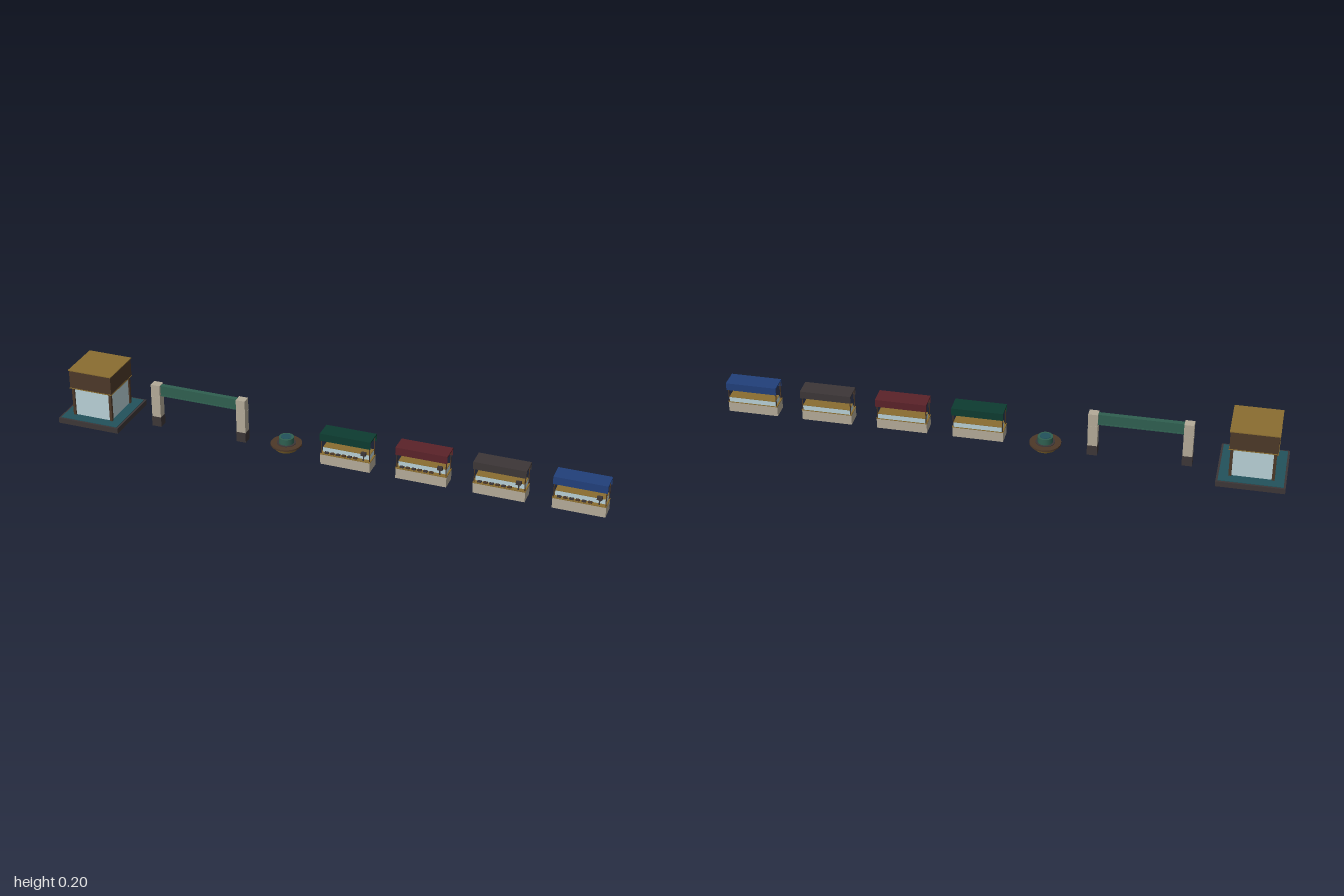
import * as THREE from 'three';

const mat = (name, color, double = false) => {
  const m = new THREE.MeshStandardMaterial({ color });
  m.name = name;
  if (double) m.side = THREE.DoubleSide;
  return m;
};

export function createModel() {
  const M = {
    stone: mat('pale stone', 0xb3aa98),
    charcoal: mat('charcoal', 0x3c3637),
    brown: mat('dark wood', 0x4c3828),
    gold: mat('bronze gold', 0x8a6d30),
    glass: mat('pale glass', 0xb8d0d6),
    teal: mat('teal paving', 0x22525c),
    jade: mat('jade', 0x2f5f50),
    green: mat('green cloth', 0x0d3b30),
    red: mat('red cloth', 0x5a2229),
    blue: mat('blue cloth', 0x213f7a),
  };
  const root = new THREE.Group();
  root.name = 'marketStreet';

  const group = (name, x, z = 0) => {
    const g = new THREE.Group();
    g.name = name;
    g.position.set(x, 0, z);
    root.add(g);
    return g;
  };
  // Box given by its width, depth, bottom and top
  const box = (parent, name, m, w, d, y0, y1, x = 0, z = 0) => {
    const mesh = new THREE.Mesh(new THREE.BoxGeometry(w, y1 - y0, d), m);
    mesh.name = name;
    mesh.position.set(x, (y0 + y1) / 2, z);
    parent.add(mesh);
    return mesh;
  };
  const disc = (parent, name, m, rTop, rBottom, y0, y1, sides = 24) => {
    const mesh = new THREE.Mesh(new THREE.CylinderGeometry(rTop, rBottom, y1 - y0, sides), m);
    mesh.name = name;
    mesh.position.y = (y0 + y1) / 2;
    parent.add(mesh);
  };

  // Pavilion: plinth, glazed room, corner posts and tall flat roof
  const pavilion = group('pavilion', -0.882);
  box(pavilion, 'plinth', M.charcoal, 0.236, 0.236, 0, 0.02);
  box(pavilion, 'paving', M.teal, 0.222, 0.222, 0.02, 0.022);
  box(pavilion, 'glassRoom', M.glass, 0.146, 0.146, 0.022, 0.131);
  for (const sx of [-1, 1]) for (const sz of [-1, 1]) {
    box(pavilion, 'cornerPost', M.brown, 0.01, 0.01, 0.022, 0.131, sx * 0.073, sz * 0.073);
  }
  box(pavilion, 'lowerTrim', M.gold, 0.167, 0.167, 0.13, 0.133);
  box(pavilion, 'roofBand', M.brown, 0.164, 0.164, 0.133, 0.201);
  box(pavilion, 'roofCap', M.gold, 0.169, 0.169, 0.201, 0.204);

  // Gate: two stone pillars carrying a jade beam
  const gate = group('gate', -0.492);
  for (const s of [-1, 1]) {
    box(gate, 'pillarFoot', M.charcoal, 0.036, 0.034, 0, 0.038, s * 0.165);
    box(gate, 'pillar', M.stone, 0.034, 0.032, 0.038, 0.165, s * 0.165);
    box(gate, 'pillarBand', M.stone, 0.035, 0.033, 0.115, 0.118, s * 0.165);
  }
  box(gate, 'beam', M.jade, 0.298, 0.014, 0.126, 0.16);
  for (const y of [0.122, 0.159]) box(gate, 'beamTrim', M.jade, 0.298, 0.018, y, y + 0.004);

  // Round planter: tapered bowl, wide rim and central drum
  const planter = group('planter', -0.16);
  disc(planter, 'bowl', M.gold, 0.049, 0.04, 0, 0.017);
  disc(planter, 'rim', M.brown, 0.056, 0.056, 0.016, 0.022);
  disc(planter, 'collar', M.charcoal, 0.034, 0.034, 0.022, 0.024);
  disc(planter, 'drum', M.jade, 0.027, 0.027, 0.024, 0.046);
  disc(planter, 'drumTop', M.teal, 0.019, 0.019, 0.046, 0.047);

  // Row of four stalls that differ only in canopy colour
  [M.green, M.red, M.charcoal, M.blue].forEach((cloth, i) => {
    const stall = group('stall' + (i + 1), 0.0815 + i * 0.275, 0.0275);
    box(stall, 'counterBase', M.stone, 0.182, 0.06, 0, 0.038, 0, 0.003);
    box(stall, 'counterTop', M.gold, 0.184, 0.062, 0.038, 0.041, 0, 0.003);
    box(stall, 'displayCase', M.glass, 0.172, 0.044, 0.041, 0.059, 0, -0.005);
    box(stall, 'displayTop', M.gold, 0.172, 0.044, 0.059, 0.061, 0, -0.005);
    // goods along the front of the counter
    for (let k = 0; k < 6; k++) {
      box(stall, 'goods', k % 2 ? M.brown : M.charcoal, 0.014, 0.009, 0.041, 0.046, -0.07 + k * 0.021, 0.025);
    }
    // till on a slim stand
    box(stall, 'tillStand', M.charcoal, 0.004, 0.004, 0.041, 0.061, 0.066, 0.027);
    box(stall, 'till', M.charcoal, 0.018, 0.011, 0.061, 0.073, 0.066, 0.027);
    // canopy with hanging front and back edges, open at the ends
    box(stall, 'canopyTop', cloth, 0.185, 0.067, 0.115, 0.12);
    for (const s of [-1, 1]) {
      box(stall, 'canopyEdge', cloth, 0.185, 0.003, 0.092, 0.117, 0, s * 0.032);
      for (const t of [-1, 1]) {
        box(stall, 'canopyPost', M.brown, 0.003, 0.003, 0.04, 0.116, t * 0.088, s > 0 ? 0.028 : -0.024);
      }
    }
  });

  return root;
}
